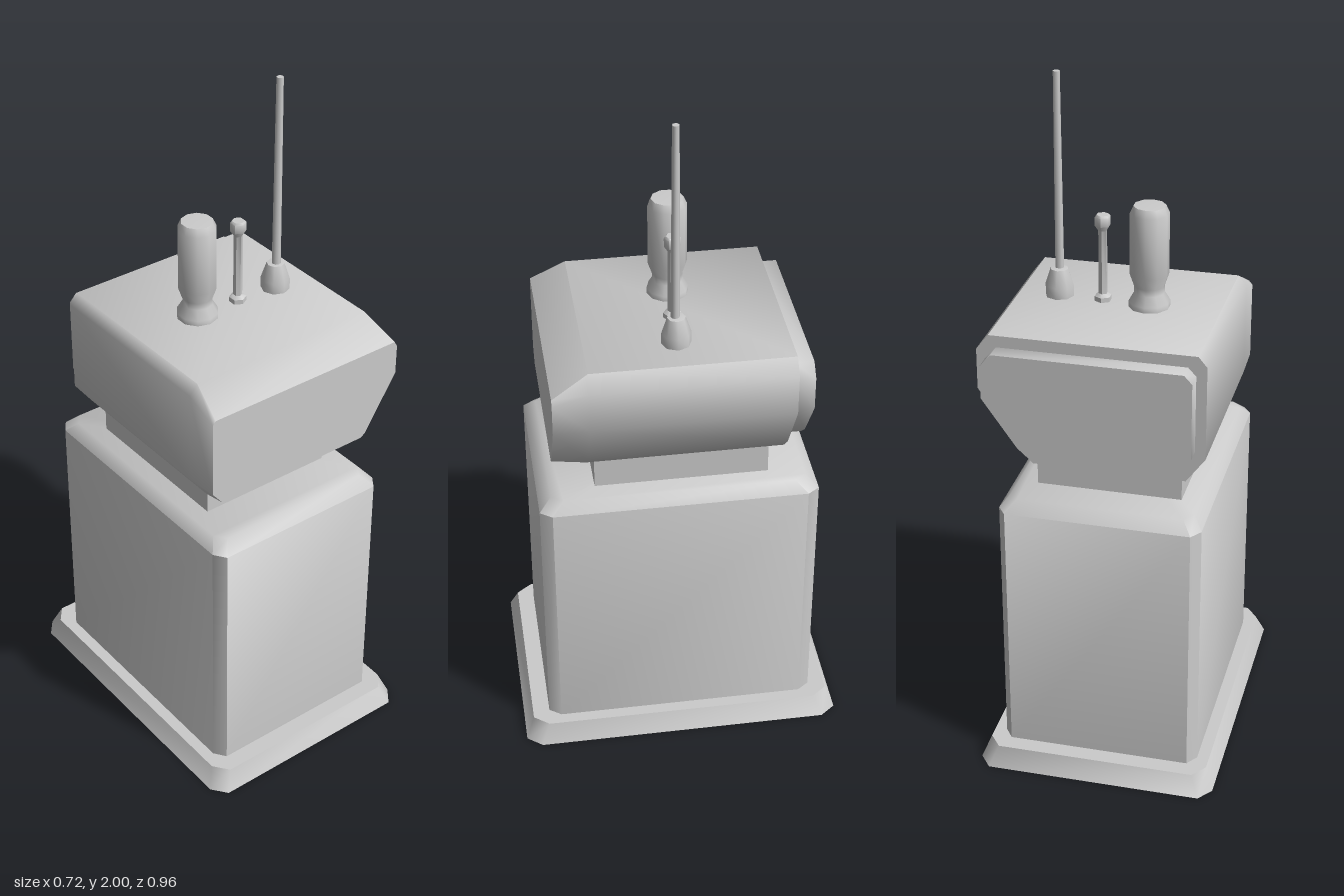
import * as THREE from 'three';
import { toCreasedNormals } from 'three/addons/utils/BufferGeometryUtils.js';

const material = new THREE.MeshStandardMaterial({ color: 0xcccccc, side: THREE.DoubleSide });

// Skin over convex rings of [x, y, z] points, capped at both ends
function loft(rings, crease) {
  const n = rings[0].length, index = [];
  const last = (rings.length - 1) * n;
  for (let i = 0; i < rings.length - 1; i++) {
    for (let j = 0; j < n; j++) {
      const k = (j + 1) % n, a = i * n, b = a + n;
      index.push(a + j, a + k, b + k, a + j, b + k, b + j);
    }
  }
  for (let j = 1; j < n - 1; j++) {
    index.push(0, j + 1, j);
    index.push(last, last + j, last + j + 1);
  }
  const geometry = new THREE.BufferGeometry();
  geometry.setAttribute('position', new THREE.Float32BufferAttribute(rings.flat(2), 3));
  geometry.setIndex(index);
  return toCreasedNormals(geometry, crease);
}

// Horizontal rectangle with cut corners, counter-clockwise from above
function cutRect(y, x0, x1, z, cx, cz) {
  return [
    [x1, y, z - cz], [x1, y, cz - z], [x1 - cx, y, -z], [x0 + cx, y, -z],
    [x0, y, cz - z], [x0, y, z - cz], [x0 + cx, y, z], [x1 - cx, y, z],
  ];
}

// Low-poly turned part from [radius, height] pairs
function turned(points, sides, crease = 0.9) {
  const profile = points.map(([r, y]) => new THREE.Vector2(r, y));
  return toCreasedNormals(new THREE.LatheGeometry(profile, sides), crease);
}

export function createModel() {
  const model = new THREE.Group();
  const add = (name, geometry, x = 0, y = 0, z = 0) => {
    const mesh = new THREE.Mesh(geometry, material);
    mesh.name = name;
    mesh.position.set(x, y, z);
    model.add(mesh);
  };

  // Flared plinth
  add('plinth', loft([
    cutRect(0, -0.36, 0.345, 0.48, 0.035, 0.045),
    cutRect(0.062, -0.335, 0.32, 0.455, 0.035, 0.045),
  ], 0.9));

  // Tall cabinet with bevelled corners and top
  add('cabinet', loft([
    cutRect(0.062, -0.3, 0.285, 0.405, 0.025, 0.035),
    cutRect(0.835, -0.3, 0.285, 0.405, 0.025, 0.035),
    cutRect(0.868, -0.272, 0.257, 0.37, 0.025, 0.035),
  ], 0.9));

  // Neck between cabinet and head
  add('neck', new THREE.BoxGeometry(0.42, 0.11, 0.505), -0.01, 0.91, -0.0125);

  // Head: slanted profile, bevelled towards the front
  const profile = [
    [-0.24, 0.955], [0.2, 0.955], [0.245, 1.0], [0.355, 1.175],
    [0.355, 1.295], [0.32, 1.34], [-0.27, 1.34], [-0.295, 1.31], [-0.295, 1.03],
  ];
  const frontProfile = [
    [-0.262, 0.998], [0.235, 0.998], [0.25, 1.008], [0.355, 1.175],
    [0.355, 1.265], [0.345, 1.282], [-0.285, 1.282], [-0.295, 1.27], [-0.295, 1.04],
  ];
  const at = (points, z) => points.map(([x, y]) => [x, y, z]);
  add('head', loft([
    at(profile, -0.31), at(profile, 0.262), at(frontProfile, 0.365),
  ], 0.9));

  // Raised panel on the back of the head, the same profile made smaller
  const panel = profile.map(([x, y]) => [0.0325 + (x - 0.03) * 0.915, 1.1475 + (y - 1.1475) * 0.82]);
  add('backPanel', loft([at(panel, -0.362), at(panel, -0.305)], 0.9));

  // Devices standing on the roof
  add('canister', turned([
    [0, 0], [0.06, 0], [0.06, 0.018], [0.044, 0.045], [0.044, 0.065],
    [0.056, 0.1], [0.056, 0.282], [0.046, 0.304], [0, 0.306],
  ], 10), -0.065, 1.338, -0.01);
  add('pin', turned([
    [0, 0], [0.025, 0], [0.025, 0.016], [0.013, 0.024], [0.013, 0.215],
    [0.023, 0.23], [0.023, 0.256], [0.018, 0.262], [0, 0.262],
  ], 6), 0.072, 1.338, -0.003);
  add('antennaBase', turned([
    [0, 0], [0.042, 0], [0.042, 0.035], [0.026, 0.084], [0, 0.088],
  ], 8), 0.202, 1.338, 0.005);
  add('antenna', new THREE.CylinderGeometry(0.01, 0.013, 0.58, 8), 0.202, 1.71, 0.008);

  return model;
}
